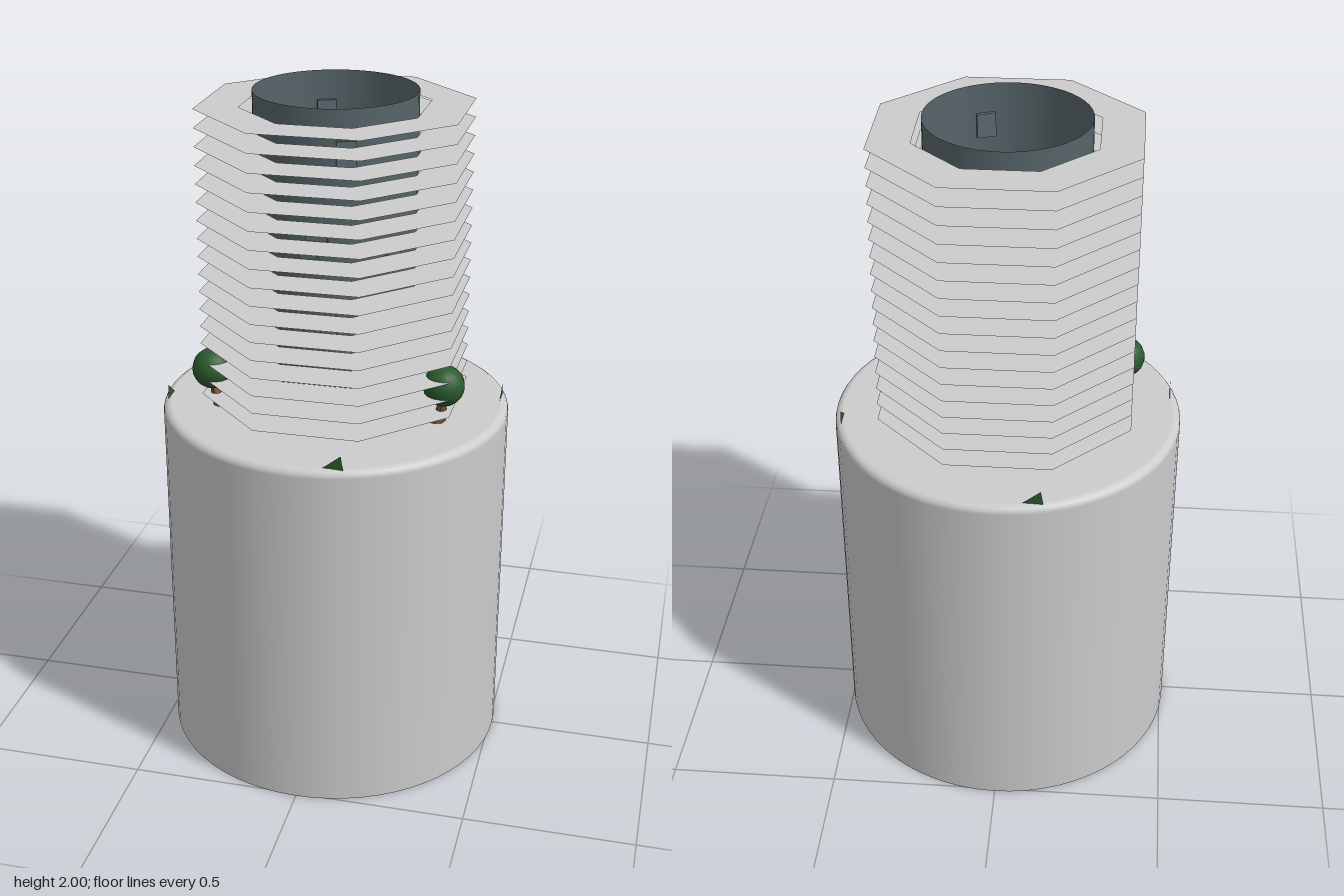
import * as THREE from 'three';

export function createModel() {
  const model = new THREE.Group();
  const mat = (name, color, double) => {
    const m = new THREE.MeshStandardMaterial({ color });
    m.name = name;
    if (double) m.side = THREE.DoubleSide;
    return m;
  };
  const pale = mat('pale grey', 0xcccccc, true);
  const stone = mat('slate stone', 0x566469, true);
  const brickMat = mat('brick slate', 0x5c6b72);
  const wood = mat('brown wood', 0x6e4c2f);
  const gap = mat('dark gap', 0x2a1d14);
  const leaf = mat('leaf green', 0x2a5a2e, true);

  const add = (name, geo, material, x = 0, y = 0, z = 0, parent = model) => {
    const m = new THREE.Mesh(geo, material);
    m.name = name;
    m.position.set(x, y, z);
    parent.add(m);
    return m;
  };

  // Pedestal: open below, rounded top edge
  const R = 0.51, H = 1.08, f = 0.022;
  const profile = [[R, 0], [R, H - f]];
  for (let i = 1; i <= 4; i++) {
    const a = (i / 4) * Math.PI / 2;
    profile.push([R - f + f * Math.cos(a), H - f + f * Math.sin(a)]);
  }
  const v2 = p => new THREE.Vector2(...p);
  add('pedestalWall', new THREE.LatheGeometry(profile.map(v2), 64), pale);
  add('pedestalTop', new THREE.CircleGeometry(R - f, 64).rotateX(-Math.PI / 2), pale, 0, H, 0);

  // Stack of flat octagonal rings
  const ringGeo = new THREE.RingGeometry(0.27, 0.396, 8, 1, Math.PI / 8).rotateX(-Math.PI / 2);
  for (let i = 0; i < 17; i++) add('octagonRing', ringGeo, pale, 0, 1.115 + i * 0.0527, 0);

  // Hollow tower
  add('towerWall', new THREE.CylinderGeometry(0.231, 0.231, 2 - H, 48, 1, true), stone, 0, (2 + H) / 2, 0);

  // Protruding bricks, repeated on the opposite side: [angle from +z, y, width, height]
  const bricks = [
    [0.355, 1.88, 0.055, 0.07], [-1.2, 1.80, 0.055, 0.065], [-1.29, 1.665, 0.06, 0.022],
    [0.01, 1.64, 0.06, 0.06], [-0.09, 1.58, 0.052, 0.065], [0.97, 1.58, 0.05, 0.065],
    [-0.92, 1.39, 0.05, 0.062], [0.15, 1.39, 0.046, 0.065], [0.97, 1.345, 0.05, 0.045],
    [0.74, 1.235, 0.028, 0.035],
  ];
  for (const [a, y, w, h] of bricks) {
    for (const t of [a, a + Math.PI]) {
      const b = add('wallBrick', new THREE.BoxGeometry(w, h, 0.02), brickMat,
        0.229 * Math.sin(t), y, 0.229 * Math.cos(t));
      b.rotation.y = t;
    }
  }

  // Foundation stones round the foot
  for (let i = 0; i < 32; i++) {
    const t = (i / 32) * Math.PI * 2, h = 0.022 + 0.005 * Math.sin(i * 2.7);
    const s = add('footStone', new THREE.BoxGeometry(0.041, h, 0.016), brickMat,
      0.234 * Math.sin(t), H + h / 2, 0.234 * Math.cos(t));
    s.rotation.y = t + 0.06 * Math.sin(i * 4.1);
  }

  // Plank floor: strips cut to a circle over a dark disc
  add('floorGaps', new THREE.CircleGeometry(0.21, 32).rotateX(-Math.PI / 2), gap, 0, H + 0.002, 0);
  const r = 0.246, pitch = 0.0447;
  for (let i = -5; i <= 5; i++) {
    const z0 = Math.max(-r, (i - 0.5) * pitch + 0.0025), z1 = Math.min(r, (i + 0.5) * pitch - 0.0025);
    const near = [], far = [];
    for (let k = 0; k <= 4; k++) {
      const z = z0 + (z1 - z0) * k / 4, x = Math.sqrt(Math.max(0, r * r - z * z));
      near.push(new THREE.Vector2(x, -z));
      far.unshift(new THREE.Vector2(-x, -z));
    }
    const geo = new THREE.ExtrudeGeometry(new THREE.Shape([...near, ...far]), { depth: 0.006, bevelEnabled: false });
    add('floorPlank', geo.rotateX(-Math.PI / 2), wood, 0, H + 0.001, 0);
  }

  // Iron pull in the floor
  add('pullPlate', new THREE.BoxGeometry(0.072, 0.008, 0.014), brickMat, 0, H + 0.011, 0);
  for (const x of [-0.022, 0.022]) add('pullBracket', new THREE.BoxGeometry(0.014, 0.012, 0.024), brickMat, x, H + 0.012, 0);

  // Trees with leaning, flared trunks
  const trunk = (name, parent, lean, height, rad) => {
    const geo = new THREE.CylinderGeometry(rad * 0.55, rad, height, 8, 5);
    const p = geo.attributes.position;
    for (let i = 0; i < p.count; i++) {
      const t = p.getY(i) / height + 0.5, s = 1 + 0.5 * (1 - t) ** 4;
      p.setXYZ(i, p.getX(i) * s + lean * (1 - t) ** 2, p.getY(i) + height / 2, p.getZ(i) * s);
    }
    geo.computeVertexNormals();
    add(name, geo, wood, 0, 0, 0, parent);
  };
  for (const [x, z, lean] of [[-0.338, 0.13, 0.025], [0.34, 0.1, -0.02]]) {
    const tree = new THREE.Group();
    tree.name = 'tree';
    tree.position.set(x, H, z);
    trunk('treeTrunk', tree, lean, 0.08, 0.018);
    add('treeCrown', new THREE.SphereGeometry(0.06, 16, 12), leaf, 0, 0.11, 0, tree);
    model.add(tree);
  }

  // Bare sapling behind the tower
  const sapling = new THREE.Group();
  sapling.name = 'sapling';
  sapling.position.set(-0.245, H, -0.15);
  trunk('saplingTrunk', sapling, 0.015, 0.07, 0.009);
  model.add(sapling);

  // Flat grass blades near the rim, one per quarter
  const blade = new THREE.ShapeGeometry(new THREE.Shape([[-0.035, 0], [0.025, 0], [0.018, 0.042]].map(v2)));
  for (let q = 0; q < 4; q++) {
    const pivot = new THREE.Group();
    pivot.name = 'grassPivot';
    pivot.rotation.y = q * Math.PI / 2;
    add('grassBlade', blade, leaf, 0.11, H - 0.002, 0.478, pivot);
    model.add(pivot);
  }
  return model;
}
